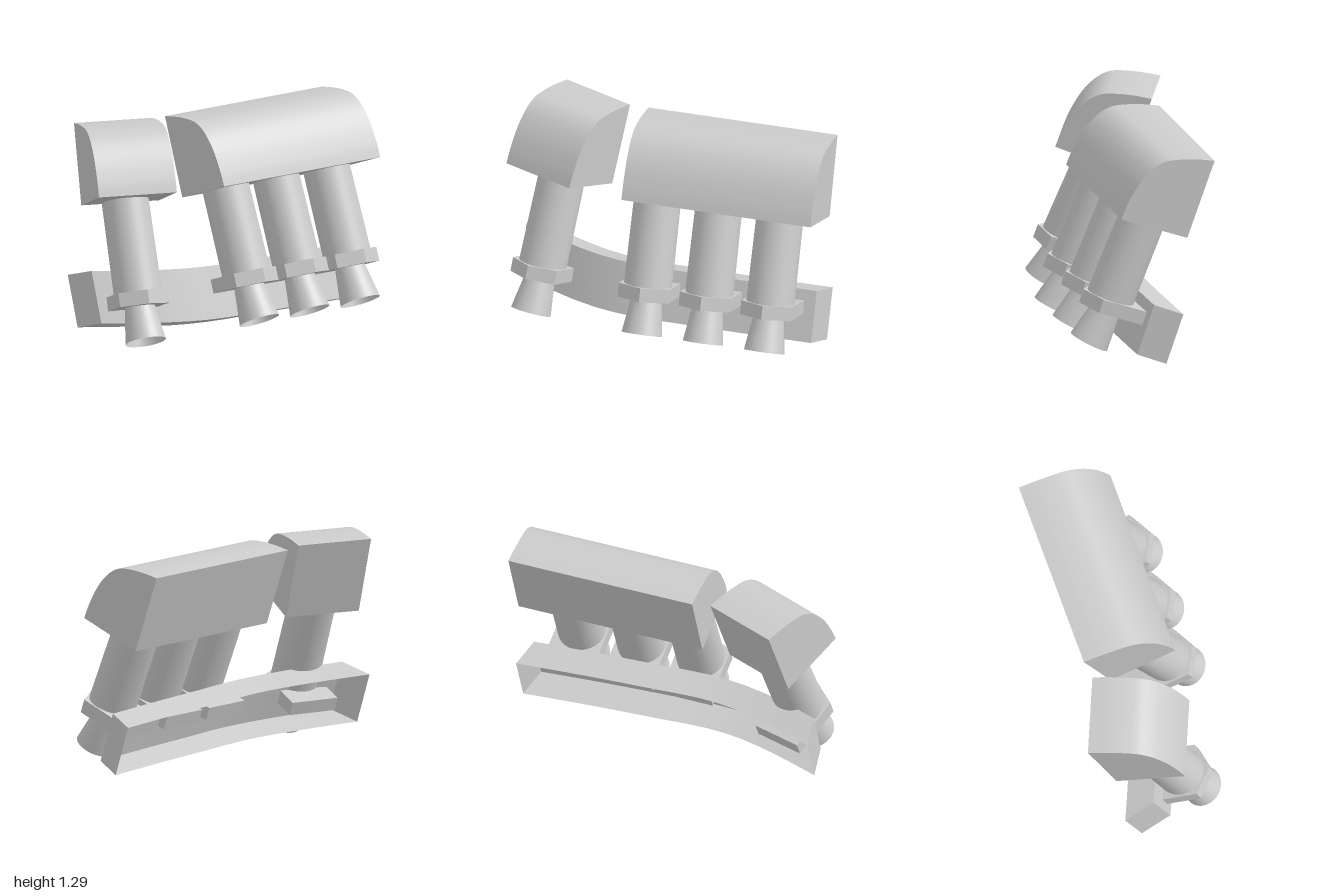
import * as THREE from 'three';
import { toCreasedNormals } from 'three/addons/utils/BufferGeometryUtils.js';

const grey = new THREE.MeshStandardMaterial({ color: 0xcccccc });
const greyThin = new THREE.MeshStandardMaterial({ color: 0xcccccc, side: THREE.DoubleSide });
const V = (x, y, z) => new THREE.Vector3(x, y, z);
const rad = THREE.MathUtils.degToRad;

function add(parent, name, geometry, material = grey) {
  const mesh = new THREE.Mesh(geometry, material);
  mesh.name = name;
  parent.add(mesh);
  return mesh;
}

// Group turned by yaw, then leaning backwards by tilt (degrees)
function leaning(name, pos, yaw, tilt) {
  const g = new THREE.Group();
  g.name = name;
  g.position.set(...pos);
  g.rotation.set(-rad(tilt), -rad(yaw), 0, 'YXZ');
  return g;
}

// Block with a flat base and back and a rounded top front; origin at its lower back edge
function head(name, pos, yaw, width) {
  const g = leaning(name, pos, yaw, 20);
  const shape = new THREE.Shape();
  shape.moveTo(0, 0);
  shape.lineTo(0.44, 0);
  shape.splineThru([[0.435, 0.09], [0.411, 0.223], [0.364, 0.336], [0.3, 0.41], [0.22, 0.448], [0.11, 0.48], [0, 0.5]]
    .map(([x, y]) => new THREE.Vector2(x, y)));
  shape.closePath();
  const geo = new THREE.ExtrudeGeometry(shape, { depth: width, bevelEnabled: false, curveSegments: 3 });
  geo.rotateY(-Math.PI / 2);
  geo.translate(width / 2, 0, 0);
  add(g, name + 'Block', toCreasedNormals(geo, rad(35)));
  return g;
}

// Barrel with a flared open nozzle, held by a pointed bracket that runs back through the tray
function barrel(pos, yaw) {
  const g = leaning('barrelUnit', pos, yaw, 22.5);
  add(g, 'barrel', new THREE.CylinderGeometry(0.142, 0.146, 0.61, 32)).position.y = 0.355;

  const plan = new THREE.Shape([[-0.158, 0.26], [-0.158, -0.09], [0, -0.175], [0.158, -0.09], [0.158, 0.26]]
    .map(([x, y]) => new THREE.Vector2(x, y)));
  const bracket = new THREE.ExtrudeGeometry(plan, { depth: 0.085, bevelEnabled: false });
  bracket.rotateX(-Math.PI / 2);
  const mesh = add(g, 'bracket', bracket);
  mesh.position.y = 0.01;
  mesh.rotation.x = rad(2.5);

  const nozzle = new THREE.CylinderGeometry(0.09, 0.123, 0.23, 32, 1, true);
  nozzle.translate(0, -0.095, 0);
  add(g, 'nozzle', nozzle, greyThin).rotation.x = -rad(5.5);
  return g;
}

// Curved tray open to the back, with flared ends
function tray() {
  const rim = new THREE.CatmullRomCurve3([
    V(-0.864, 0.39, -0.55), V(-0.63, 0.375, -0.37), V(-0.39, 0.36, -0.21), V(-0.17, 0.351, -0.115),
    V(0.12, 0.342, -0.045), V(0.54, 0.332, 0.05), V(0.976, 0.32, 0.14)]);
  const n = 12, drop = V(-0.032, -0.304, 0.1);
  const sections = [];
  for (let i = 0; i <= n; i++) {
    const top = rim.getPoint(i / n);
    const u = rim.getTangent(i / n).setY(0).normalize();
    const front = top.clone().addScaledVector(V(-u.z, 0, u.x), 0.165);
    front.y += 0.058;
    front.addScaledVector(u, THREE.MathUtils.lerp(0.105, -0.06, i / n));
    sections.push([top.clone().add(drop), front.clone().add(drop), front, top]);
  }
  const pos = [], index = [];
  const push = (p) => pos.push(p.x, p.y, p.z);
  // bottom, front and top walls
  for (let k = 0; k < 3; k++) {
    const base = pos.length / 3;
    sections.forEach((s) => { push(s[k]); push(s[k + 1]); });
    for (let i = 0; i < n; i++) {
      const a = base + 2 * i;
      index.push(a, a + 2, a + 1, a + 1, a + 2, a + 3);
    }
  }
  // end walls
  for (const corners of [sections[0], [...sections[n]].reverse()]) {
    const b = pos.length / 3;
    corners.forEach(push);
    index.push(b, b + 1, b + 2, b, b + 2, b + 3);
  }
  const geo = new THREE.BufferGeometry();
  geo.setAttribute('position', new THREE.Float32BufferAttribute(pos, 3));
  geo.setIndex(index);
  geo.computeVertexNormals();
  return geo;
}

export function createModel() {
  const model = new THREE.Group();
  model.name = 'barrelCluster';

  model.add(head('wideHead', [0.383, 0.79, -0.05], 14.7, 1.185));
  model.add(head('narrowHead', [-0.555, 0.8, -0.39], 37.2, 0.485));

  for (let i = 0; i < 3; i++) {
    model.add(barrel([-0.142 + 0.371 * i, 0.295, 0.275 + 0.096 * i], 15));
  }
  model.add(barrel([-0.793, 0.245, -0.055], 31.5));

  add(model, 'backTray', tray(), greyThin);
  return model;
}
